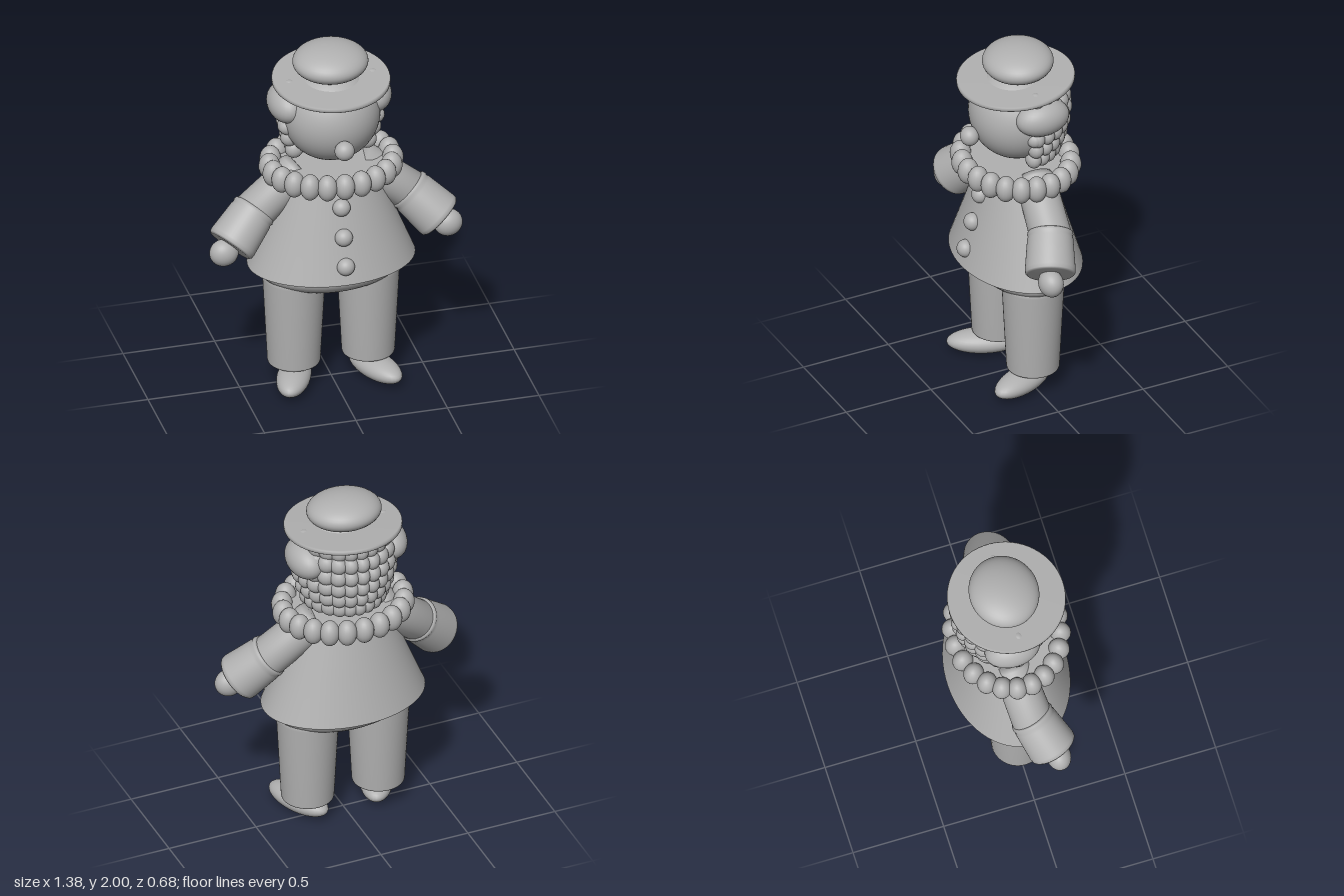
import * as THREE from 'three';

const cloth = new THREE.MeshStandardMaterial({ color: 0xb0b0b0 });
cloth.name = 'plain grey';

export function createModel() {
  const model = new THREE.Group();
  model.name = 'clown';

  const add = (name, geometry, pos = [0, 0, 0], parent = model) => {
    const mesh = new THREE.Mesh(geometry, cloth);
    mesh.name = name;
    mesh.position.set(...pos);
    parent.add(mesh);
    return mesh;
  };
  // Ellipsoid with given centre and radii
  const ball = (name, pos, radii, parent = model, w = 32, h = 20) => {
    const mesh = add(name, new THREE.SphereGeometry(1, w, h), pos, parent);
    mesh.scale.set(...radii);
    return mesh;
  };
  const lathe = (points, segments = 48) =>
    new THREE.LatheGeometry(points.map(([r, y]) => new THREE.Vector2(r, y)), segments);
  // Lathe part whose y axis runs between two points
  const along = (name, from, to, profile, parent) => {
    const a = new THREE.Vector3(...from);
    const dir = new THREE.Vector3(...to).sub(a);
    const length = dir.length();
    const mesh = add(name, lathe(profile(length)), from, parent);
    mesh.quaternion.setFromUnitVectors(new THREE.Vector3(0, 1, 0), dir.normalize());
    return mesh;
  };

  // Head and nose
  ball('head', [0, 1.61, 0], [0.262, 0.26, 0.248], model, 48, 32);
  ball('nose', [0, 1.52, 0.272], [0.053, 0.053, 0.05]);

  // Tilted hat
  const hat = new THREE.Group();
  hat.name = 'hat';
  hat.position.set(0, 1.811, 0);
  hat.rotation.x = 0.068;
  model.add(hat);
  add('hatBrim', lathe([[0, -0.015], [0.307, -0.015], [0.313, -0.01], [0.314, 0],
    [0.313, 0.01], [0.307, 0.015], [0, 0.015]], 64), [0, 0, 0], hat);
  ball('hatCrown', [0, 0.1, -0.02], [0.202, 0.09, 0.186], hat, 48, 24);

  // Curls in rows around the back of the head
  const hair = new THREE.Group();
  hair.name = 'hair';
  model.add(hair);
  const rows = [[1.41, 0.2], [1.485, 0.225], [1.56, 0.242], [1.635, 0.25], [1.71, 0.245], [1.78, 0.228]];
  rows.forEach(([y, r]) => {
    for (let i = -6; i <= 6; i++) {
      const a = i * 0.262;
      const curl = ball('curl', [Math.sin(a) * r, y, -0.005 - Math.cos(a) * r],
        [0.042, 0.05, 0.05], hair, 16, 12);
      curl.rotation.y = a;
    }
  });

  // Ruff of puffs around the neck
  const ruff = new THREE.Group();
  ruff.name = 'ruff';
  model.add(ruff);
  for (let i = 0; i < 22; i++) {
    const a = (i / 22) * Math.PI * 2;
    const puff = ball('ruffPuff', [Math.sin(a) * 0.33, 1.305, Math.cos(a) * 0.28],
      [0.053, 0.073, 0.057], ruff, 20, 14);
    puff.rotation.y = a;
  }
  add('collar', new THREE.CylinderGeometry(1, 1, 0.04, 48), [0, 1.295, 0], ruff).scale.set(0.31, 1, 0.26);

  // Flared jacket with rounded hem, oval in section
  const jacket = add('jacket', lathe([[0, 0.735], [0.97, 0.73], [1, 0.73], [1, 0.73],
    [1, 0.735], [1, 0.735], [0.78, 0.98], [0.56, 1.24], [0.5, 1.3], [0.5, 1.3], [0, 1.3]], 64));
  jacket.scale.set(0.452, 1, 0.325);
  [[1.14, 0.21], [0.983, 0.256], [0.828, 0.297]].forEach(([y, z]) =>
    ball('button', [0, y, z], [0.048, 0.048, 0.046]));

  // Seat of the trousers
  ball('hips', [0, 0.7, 0], [0.39, 0.135, 0.24], model, 48, 24);

  for (const s of [1, -1]) {
    const side = s > 0 ? 'left' : 'right';
    ball(side + 'HairTuft', [s * 0.235, 1.68, -0.04], [0.1, 0.1, 0.15]);
    ball(side + 'Sideburn', [s * 0.24, 1.56, 0.01], [0.05, 0.045, 0.045], model, 16, 12);

    // Trouser leg and out-turned shoe
    add(side + 'Leg', lathe([[0, 0.13], [0.132, 0.13], [0.139, 0.134], [0.141, 0.142],
      [0.166, 0.64], [0.16, 0.67], [0.14, 0.69], [0, 0.7]]), [s * 0.203, 0, 0]);
    ball(side + 'Shoe', [s * 0.223, 0.07, 0.073], [0.09, 0.064, 0.2]).rotation.y = s * 0.4;

    // Sleeve, cuff and hand
    const arm = new THREE.Group();
    arm.name = side + 'Arm';
    model.add(arm);
    along('sleeve', [s * 0.16, 1.28, -0.03], [s * 0.46, 1.045, 0.015],
      (l) => [[0, 0], [0.09, 0], [0.105, 0.03], [0.112, l], [0, l]], arm);
    along('cuff', [s * 0.415, 1.085, 0.005], [s * 0.575, 0.925, 0.085],
      (l) => [[0, 0], [0.108, 0], [0.118, 0.006], [0.122, 0.02], [0.117, 0.032], [0.122, 0.045],
        [0.134, l - 0.03], [0.132, l - 0.01], [0.122, l], [0, l]], arm);
    ball('hand', [s * 0.612, 0.898, 0.1], [0.078, 0.075, 0.065], arm);
  }
  return model;
}
